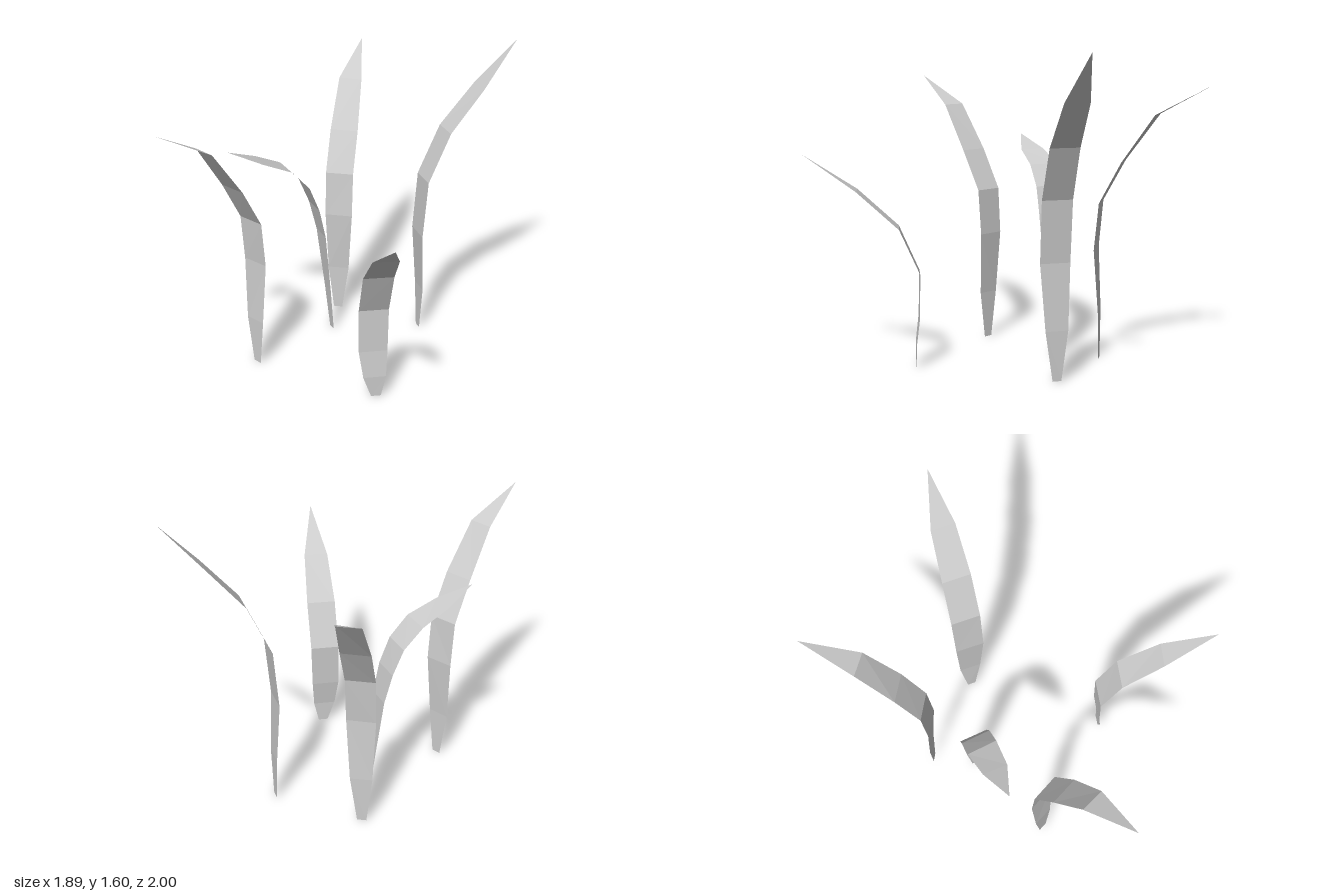
import * as THREE from 'three';

const bladeGrey = new THREE.MeshStandardMaterial({ color: 0xcccccc, side: THREE.DoubleSide, flatShading: true });
bladeGrey.name = 'bladeGrey';

// Folded ribbon: each section is [y, x1, z1, x2, z2] (its two edges), closed by a pointed tip
function blade(name, tip, sections) {
  const points = [];
  const faces = [];
  for (const [y, x1, z1, x2, z2] of sections) points.push(x1, y, z1, x2, y, z2);
  points.push(...tip);
  for (let i = 0; i < sections.length - 1; i++) {
    const a = i * 2;
    faces.push(a, a + 1, a + 3, a, a + 3, a + 2);
  }
  const last = sections.length * 2 - 2;
  faces.push(last, last + 1, last + 2);

  const indexed = new THREE.BufferGeometry();
  indexed.setAttribute('position', new THREE.Float32BufferAttribute(points, 3));
  indexed.setIndex(faces);
  const geometry = indexed.toNonIndexed();
  geometry.computeVertexNormals();
  const mesh = new THREE.Mesh(geometry, bladeGrey);
  mesh.name = name;
  return mesh;
}

export function createModel() {
  const group = new THREE.Group();
  group.name = 'grassTuft';

  // Short blade bending forward
  group.add(blade('frontBlade', [0, 1.08, 1], [
    [0, 0.03, 0.45, 0.08, 0.453],
    [0.11, -0.01, 0.448, 0.105, 0.454],
    [0.25, -0.03, 0.43, 0.115, 0.438],
    [0.48, -0.03, 0.424, 0.12, 0.434],
    [0.71, -0.033, 0.525, 0.118, 0.537],
    [0.9, -0.037, 0.73, 0.088, 0.745],
  ]));

  // Blade bending to the model's right
  group.add(blade('rightBlade', [-0.95, 1.42, 0.295], [
    [0, -0.492, -0.02, -0.465, 0.02],
    [0.25, -0.515, -0.05, -0.45, 0.045],
    [0.58, -0.515, -0.075, -0.427, 0.045],
    [0.82, -0.532, -0.067, -0.445, 0.057],
    [1.03, -0.625, 0, -0.54, 0.125],
    [1.27, -0.752, 0.1, -0.687, 0.205],
  ]));

  // Tallest blade bending to the model's left
  group.add(blade('leftBlade', [0.945, 1.6, -0.23], [
    [0, 0.442, -0.215, 0.448, -0.17],
    [0.25, 0.44, -0.248, 0.452, -0.133],
    [0.58, 0.42, -0.26, 0.436, -0.108],
    [0.89, 0.445, -0.265, 0.462, -0.11],
    [1.15, 0.56, -0.272, 0.577, -0.122],
    [1.37, 0.74, -0.275, 0.756, -0.15],
  ]));

  // Blade bending backward
  group.add(blade('backBlade', [0.305, 1.42, -1], [
    [0, 0.037, -0.506, 0.081, -0.488],
    [0.25, 0.01, -0.516, 0.115, -0.475],
    [0.58, -0.008, -0.507, 0.127, -0.447],
    [0.82, 0, -0.527, 0.138, -0.468],
    [1.03, 0.048, -0.63, 0.185, -0.568],
    [1.27, 0.13, -0.785, 0.24, -0.723],
  ]));

  // Drooping blade near the middle
  group.add(blade('middleBlade', [-0.57, 1.115, -0.2], [
    [0, -0.028, -0.296, -0.017, -0.252],
    [0.25, -0.052, -0.322, -0.036, -0.236],
    [0.58, -0.09, -0.345, -0.065, -0.218],
    [0.74, -0.128, -0.355, -0.098, -0.21],
    [0.875, -0.183, -0.353, -0.15, -0.205],
    [0.98, -0.28, -0.34, -0.243, -0.19],
    [1.045, -0.415, -0.295, -0.395, -0.17],
  ]));

  return group;
}
